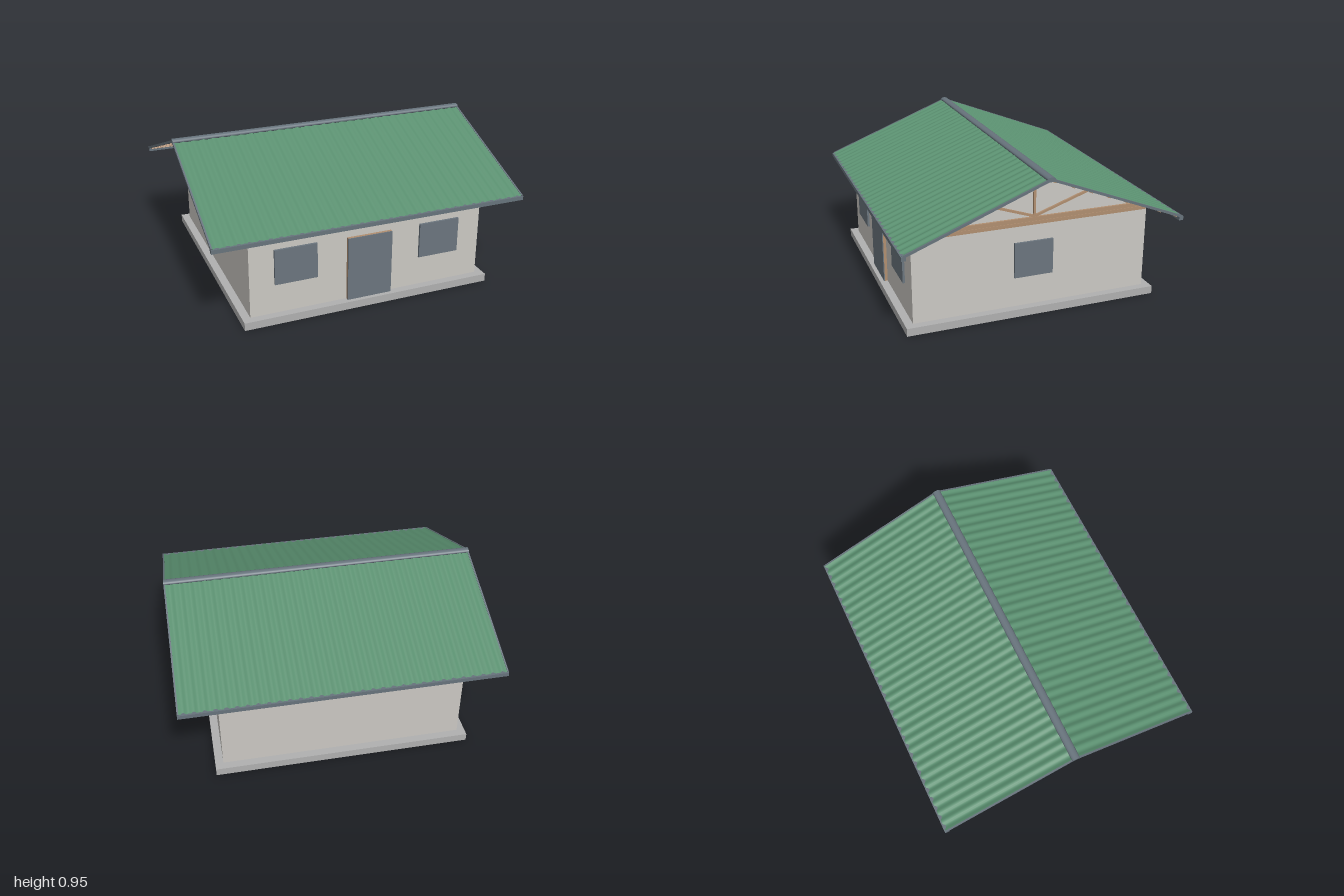
import * as THREE from 'three';

const mat = (name, color, side = THREE.FrontSide) => {
  const m = new THREE.MeshStandardMaterial({ color, side });
  m.name = name;
  return m;
};

export function createModel() {
  const model = new THREE.Group();
  model.name = 'house';
  const wall = mat('plaster', 0xcbc8c3);
  const concrete = mat('concrete', 0xb0b0b0);
  const green = mat('greenSheet', 0x5a9070, THREE.DoubleSide);
  const slate = mat('slateTrim', 0x67737c);
  const glass = mat('slatePanel', 0x6b757e);
  const wood = mat('timber', 0xb08e70);
  const dark = mat('underlay', 0x505054);

  const add = (parent, name, geo, material, x = 0, y = 0, z = 0) => {
    const mesh = new THREE.Mesh(geo, material);
    mesh.name = name;
    mesh.position.set(x, y, z);
    parent.add(mesh);
    return mesh;
  };
  const box = (parent, name, material, w, h, d, x, y, z) =>
    add(parent, name, new THREE.BoxGeometry(w, h, d), material, x, y, z);

  // Slab and walls
  box(model, 'slab', concrete, 1.62, 0.05, 1.62, 0, 0.025, 0);
  box(model, 'walls', wall, 1.52, 0.53, 1.52, 0, 0.315, 0);

  // Door and windows
  box(model, 'doorFrame', wood, 0.29, 0.415, 0.018, 0, 0.2575, 0.769);
  box(model, 'doorPanel', glass, 0.29, 0.415, 0.006, 0, 0.2575, 0.781);
  for (const s of [-1, 1]) {
    box(model, 'frontWindow', glass, 0.268, 0.226, 0.014, s * 0.472, 0.357, 0.767);
    box(model, 'sideWindow', glass, 0.014, 0.226, 0.25, s * 0.767, 0.357, 0);
  }

  // Gable infill behind the end trusses
  const gable = new THREE.Shape([[-0.76, 0.575], [0.76, 0.575], [0.76, 0.603], [0, 0.9], [-0.76, 0.603]]
    .map(([a, b]) => new THREE.Vector2(a, b)));
  const gableGeo = new THREE.ExtrudeGeometry(gable, { depth: 0.02, bevelEnabled: false })
    .translate(0, 0, -0.01).rotateY(Math.PI / 2);
  for (const s of [-1, 1]) add(model, 'gableWall', gableGeo, wall, s * 0.747, 0, 0);

  // Wall plates along the eaves
  for (const s of [-1, 1]) box(model, 'wallPlate', wood, 1.53, 0.022, 0.02, 0, 0.587, s * 0.742);

  // Roof frame constants
  const pitch = Math.atan(0.39);
  const ridgeY = 0.915;
  const length = 0.86 / Math.cos(pitch);

  // A timber between two points of the truss plane
  const strut = (parent, name, z1, y1, z2, y2, t, w) => {
    const m = box(parent, name, wood, w, t, Math.hypot(z2 - z1, y2 - y1), 0, (y1 + y2) / 2, (z1 + z2) / 2);
    m.rotation.x = -Math.atan2(y2 - y1, z2 - z1);
  };

  // Six evenly spaced trusses
  for (let i = 0; i < 6; i++) {
    const truss = new THREE.Group();
    truss.name = 'truss';
    truss.position.x = -0.7625 + i * 0.305;
    model.add(truss);
    box(truss, 'tieBeam', wood, 0.018, 0.025, 1.49, 0, 0.612, 0);
    box(truss, 'kingPost', wood, 0.016, 0.275, 0.014, 0, 0.76, 0);
    if (i === 0 || i === 5) box(truss, 'endPlate', wood, 0.018, 0.022, 1.5, 0, 0.587, 0);
    for (const s of [-1, 1]) {
      strut(truss, 'rafter', 0, ridgeY - 0.0135, s * 0.85, ridgeY - 0.0135 - 0.39 * 0.85, 0.025, 0.018);
      strut(truss, 'web', 0, 0.628, s * 0.37, 0.755, 0.014, 0.016);
    }
  }

  // Corrugated sheet: a plane raised in waves across its width
  const waves = 32;
  const sheet = new THREE.PlaneGeometry(1.99, length, waves * 6, 1).rotateX(-Math.PI / 2);
  const p = sheet.attributes.position;
  for (let i = 0; i < p.count; i++) {
    p.setY(i, 0.016 + 0.005 * Math.cos((p.getX(i) / 1.99 + 0.5) * waves * Math.PI * 2));
  }
  sheet.computeVertexNormals();

  // Two mirrored roof slopes
  for (const turn of [0, Math.PI]) {
    const side = new THREE.Group();
    side.name = 'roofSide';
    side.rotation.y = turn;
    model.add(side);
    const slope = new THREE.Group();
    slope.name = 'roofSlope';
    slope.position.y = ridgeY;
    slope.rotation.x = pitch;
    side.add(slope);
    for (let i = 0; i < 8; i++) {
      box(slope, 'purlin', wood, 1.97, 0.008, 0.016, 0, 0.004, 0.03 + i * (length - 0.06) / 7);
    }
    box(slope, 'underlay', dark, 1.98, 0.003, length, 0, 0.0092, length / 2);
    add(slope, 'roofSheet', sheet, green, 0, 0, length / 2);
    for (const s of [-1, 1]) box(slope, 'bargeTrim', slate, 0.01, 0.015, length, s * 0.995, 0.0145, length / 2);
    box(side, 'eaveTrim', slate, 2, 0.025, 0.028, 0, 0.5825, 0.861);
  }

  // Ridge cap
  const cap = add(model, 'ridgeCap', new THREE.CylinderGeometry(0.026, 0.026, 2, 12).rotateZ(Math.PI / 2), slate, 0, 0.931, 0);
  cap.scale.y = 0.55;

  return model;
}
